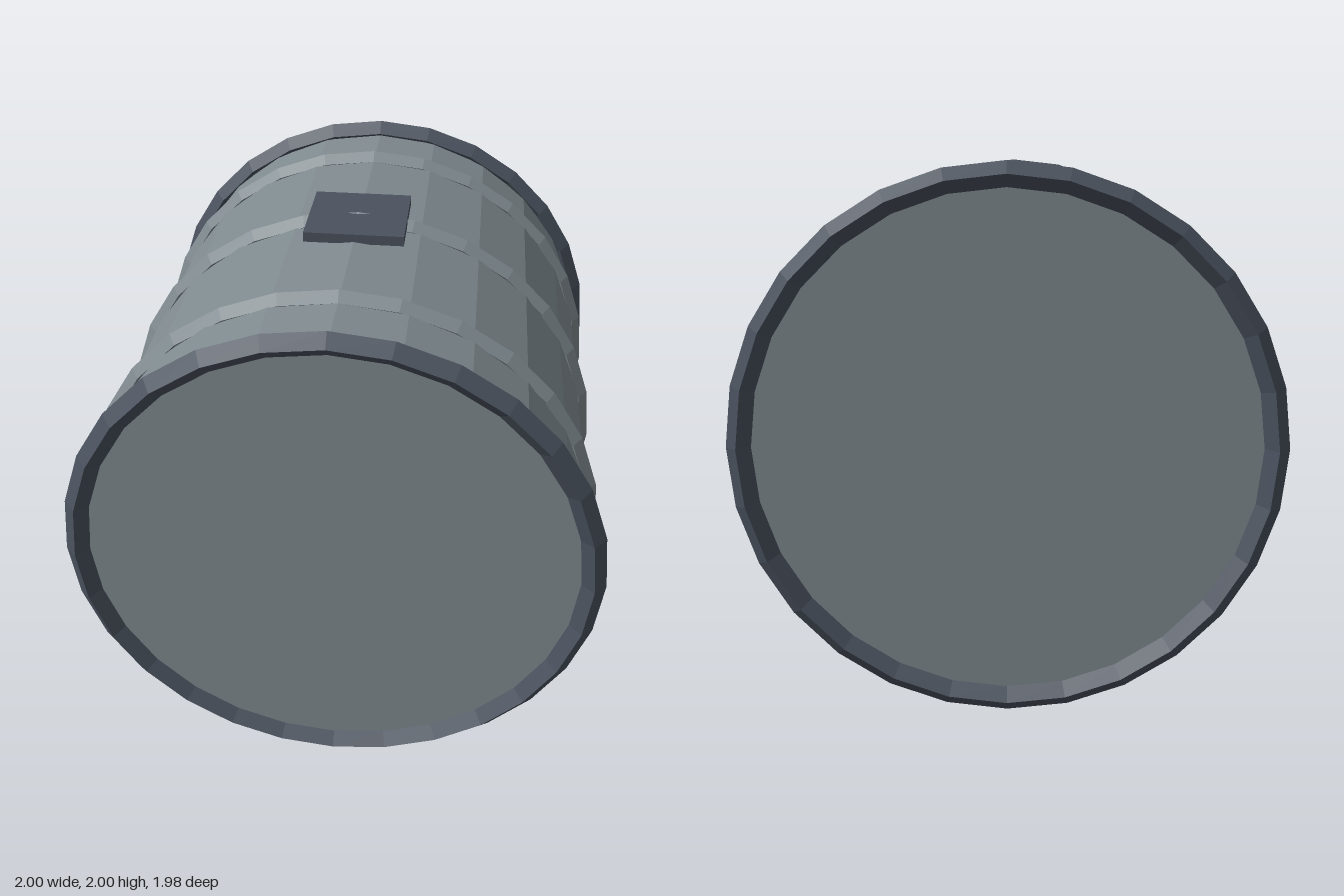
import * as THREE from 'three';

export function createModel() {
  const group = new THREE.Group();
  const steel = new THREE.MeshStandardMaterial({ color: 0x7f8a8f });
  steel.name = 'grey steel';
  const dark = new THREE.MeshStandardMaterial({ color: 0x4a525e });
  dark.name = 'dark steel';
  steel.flatShading = dark.flatShading = true;

  const add = (name, geometry, material, y, z) => {
    const mesh = new THREE.Mesh(geometry, material);
    mesh.name = name;
    mesh.position.set(0, y, z);
    group.add(mesh);
  };

  // Drum lying along z, with closed ends
  const drum = new THREE.CylinderGeometry(0.945, 0.945, 1.89, 24).rotateX(Math.PI / 2);
  add('drumBody', drum, steel, 1, 0);

  // Diamond-section end rims
  const rim = new THREE.TorusGeometry(0.955, 0.045, 4, 28);
  add('frontRim', rim, dark, 1, 0.945);
  add('backRim', rim, dark, 1, -0.945);

  // Raised hoops round the drum
  const hoop = new THREE.TorusGeometry(0.945, 0.035, 4, 28);
  add('frontHoop', hoop, steel, 1, 0.63);
  add('middleHoop', hoop, steel, 1, 0);
  add('backHoop', hoop, steel, 1, -0.63);

  // Square hatch plate on top
  add('hatchPlate', new THREE.BoxGeometry(0.38, 0.038, 0.38), dark, 1.956, 0);

  return group;
}
